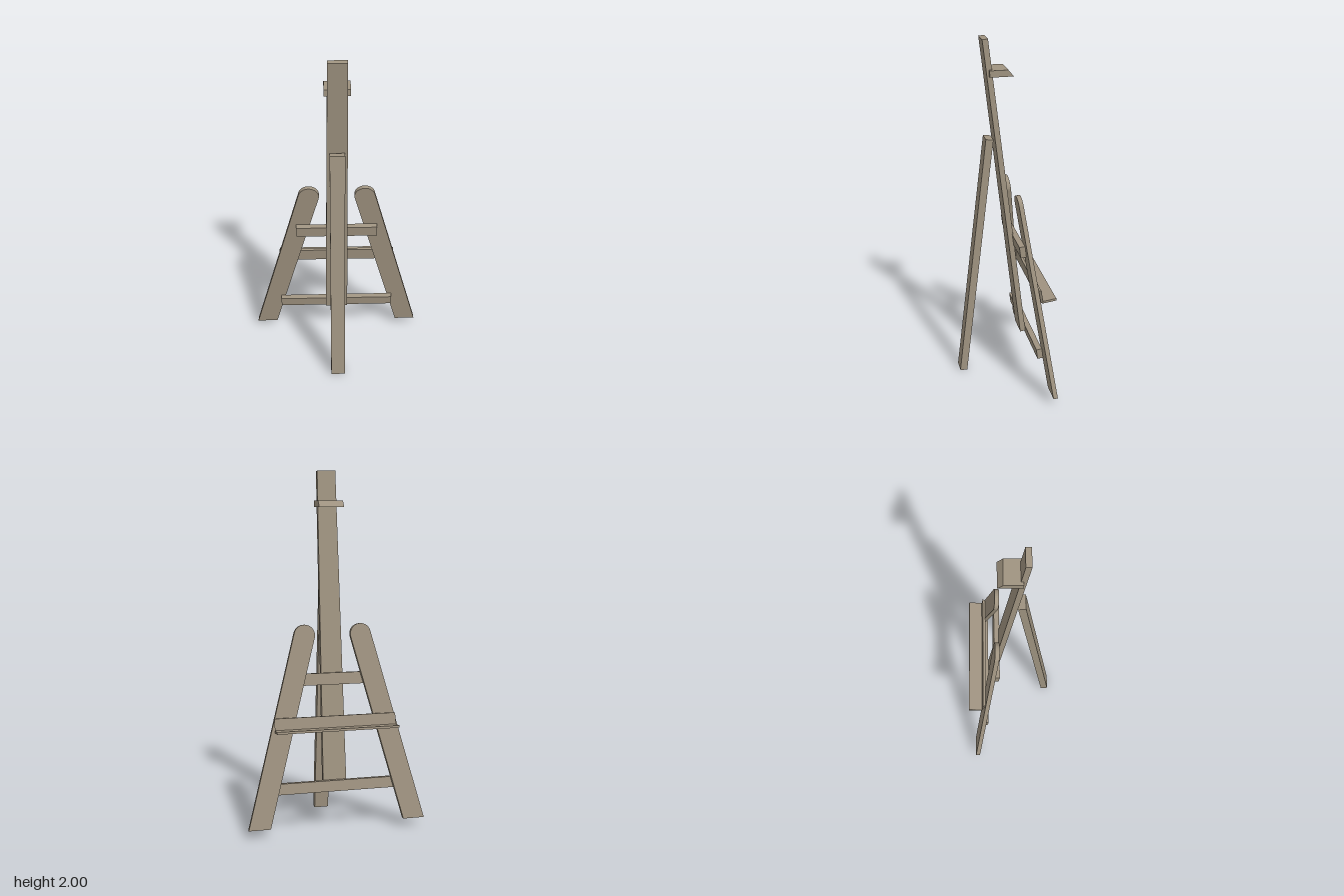
import * as THREE from 'three';

const wood = new THREE.MeshStandardMaterial({ color: 0xa09481, flatShading: true });

function addMesh(parent, name, geometry, x = 0, y = 0, z = 0) {
  const mesh = new THREE.Mesh(geometry, wood);
  mesh.name = name;
  mesh.position.set(x, y, z);
  parent.add(mesh);
  return mesh;
}

// Flat board cut from an outline, centred on its own thickness
function board(shape, thickness) {
  const g = new THREE.ExtrudeGeometry(shape, { depth: thickness, bevelEnabled: false, curveSegments: 16 });
  return g.translate(0, 0, -thickness / 2);
}

const outline = (points) => new THREE.Shape(points.map(([x, y]) => new THREE.Vector2(x, y)));

// Splayed leg: rounded at the top, cut level at the foot
function legShape(side) {
  const top = new THREE.Vector2(0.16, 1.108), r = 0.059;
  const foot = new THREE.Vector2(0.4425, 0.047);
  const lean = Math.atan2(foot.x - top.x, top.y - foot.y);
  const half = r / Math.cos(lean);
  const points = [[foot.x - half, foot.y], [foot.x + half, foot.y]];
  for (let i = 0; i <= 16; i++) {
    const a = lean + (Math.PI * i) / 16;
    points.push([top.x + r * Math.cos(a), top.y + r * Math.sin(a)]);
  }
  const mirrored = points.map(([x, y]) => [x * side, y]);
  return outline(side > 0 ? mirrored : mirrored.reverse());
}

export function createModel() {
  const easel = new THREE.Group();
  easel.name = 'easel';

  // Leaning frame that carries the splayed legs, rails and shelf
  const frame = new THREE.Group();
  frame.name = 'legFrame';
  frame.position.z = -0.221;
  frame.rotation.x = 0.13;
  easel.add(frame);

  addMesh(frame, 'leftLeg', board(legShape(1), 0.025));
  addMesh(frame, 'rightLeg', board(legShape(-1), 0.025));
  addMesh(frame, 'upperRail', new THREE.BoxGeometry(0.472, 0.0665, 0.032), 0, 0.861, 0.0285);
  addMesh(frame, 'lowerRail', new THREE.BoxGeometry(0.69, 0.061, 0.032), 0, 0.258, 0.0285);

  // Shelf: back plate with mitred ends and a ledge square to it
  const plate = outline([[-0.33, 0.0075], [-0.345, -0.0075], [0.345, -0.0075], [0.33, 0.0075]]);
  addMesh(frame, 'shelfBackPlate', board(plate, 0.078).rotateX(Math.PI / 2), 0, 0.6176, -0.02);
  addMesh(frame, 'shelfLedge', new THREE.BoxGeometry(0.69, 0.013, 0.0775), 0, 0.5855, -0.0662);

  // Tapered central mast
  const mast = outline([[-0.067, -0.884], [0.067, -0.884], [0.052, 0.884], [-0.052, 0.884]]);
  const mastMesh = addMesh(easel, 'mast', board(mast, 0.031), 0, 1.121, -0.0205);
  mastMesh.rotation.x = 0.1223;

  // Top clip with a slanted end, drawn in side profile
  const clip = outline([[-0.067, 1.8], [0.063, 1.8], [0.033, 1.836], [-0.067, 1.836]]);
  addMesh(easel, 'topClip', board(clip, 0.14).rotateY(Math.PI / 2));

  // Single prop leg
  const prop = addMesh(easel, 'propLeg', new THREE.BoxGeometry(0.083, 1.457, 0.042), 0, 0.726, 0.146);
  prop.rotation.x = -0.1141;

  return easel;
}
